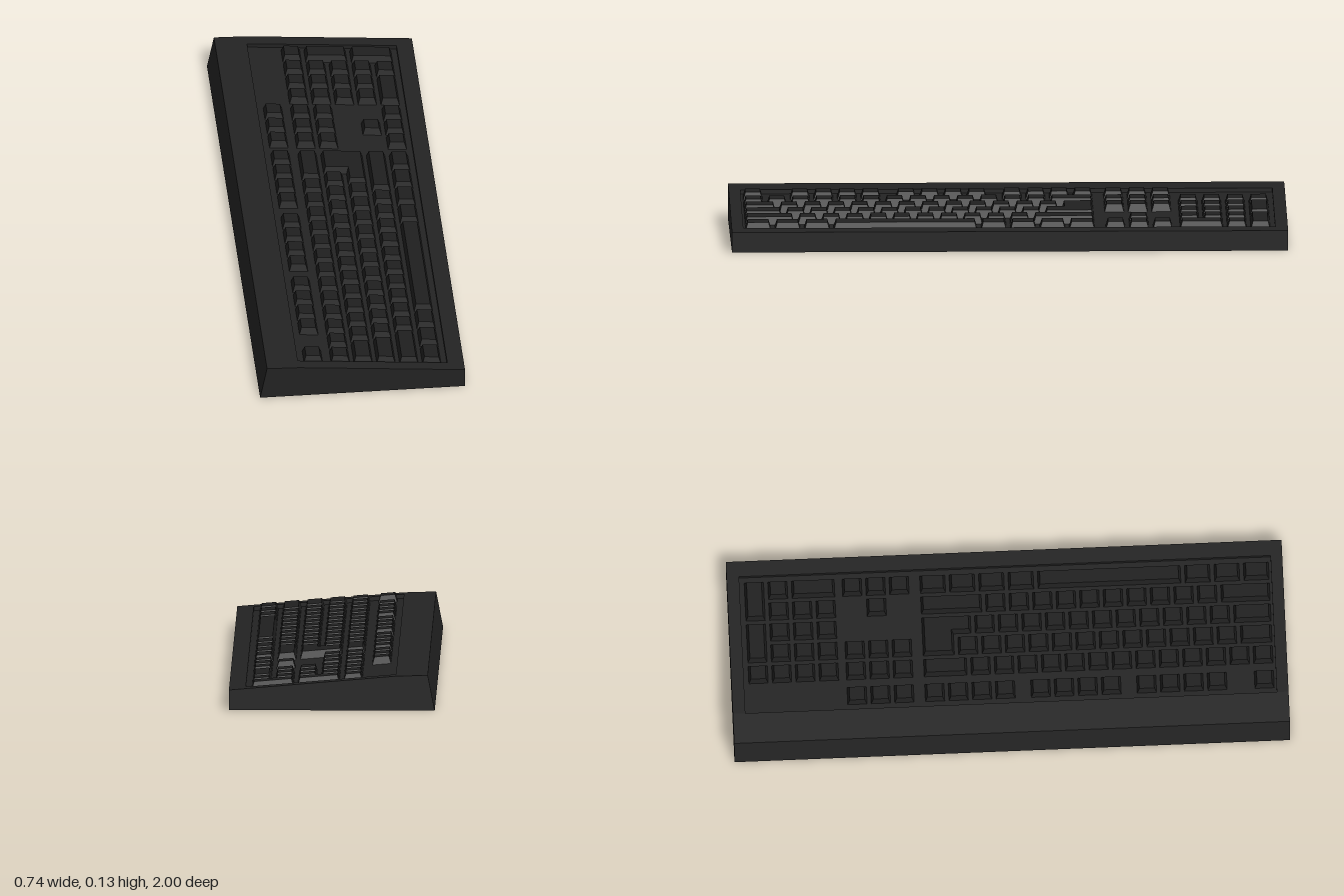
import * as THREE from 'three';

const PITCH = 0.0847;     // key spacing along the board (z)
const ROW = 0.0825;       // key spacing across the board (x)
const GAP = 0.0075;       // half of the space between keys
const TAPER = 0.008;      // inset of a key's top face
const RECESS = 0.015;     // depth of the key well
const KEY_H = 0.0275;     // key height from the well floor
const deck = x => 0.1048 - 0.086 * x;   // sloping top of the case

// Row centres from the top row to the space bar
const rowX = [-0.173, ...[0, 1, 2, 3, 4].map(i => -0.075 + i * ROW)];
const MAIN = 0.957, NAV = -0.339, PAD = -0.606;

export function createModel() {
  const caseBlack = new THREE.MeshStandardMaterial({ color: 0x232323 });
  const keyBlack = new THREE.MeshStandardMaterial({ color: 0x1f1f1f });
  caseBlack.name = 'caseBlack';
  keyBlack.name = 'keyBlack';

  const model = new THREE.Group();
  model.name = 'keyboard';

  // Case: side profile extruded along z, notched in the middle for the key well
  const casePart = (name, notch, z0, z1) => {
    const pts = [[-0.37, 0], [0.37, 0], [0.37, deck(0.37)], ...notch, [-0.23, deck(-0.23)], [-0.345, 0.128]];
    const shape = new THREE.Shape(pts.map(p => new THREE.Vector2(...p)));
    const geo = new THREE.ExtrudeGeometry(shape, { depth: z1 - z0, bevelEnabled: false });
    geo.translate(0, 0, z0);
    const mesh = new THREE.Mesh(geo, caseBlack);
    mesh.name = name;
    model.add(mesh);
  };
  const well = [[0.31, deck(0.31)], [0.31, deck(0.31) - RECESS], [-0.23, deck(-0.23) - RECESS]];
  casePart('caseRightEnd', [], -1, -0.955);
  casePart('caseKeyWell', well, -0.955, 0.958);
  casePart('caseLeftEnd', [], 0.958, 1);

  // Tapered key from an [x, z] outline, sheared to follow the deck
  const addKey = (group, name, outline) => {
    const shape = new THREE.Shape(outline.map(([x, z]) => new THREE.Vector2(x, -z)));
    const geo = new THREE.ExtrudeGeometry(shape, { depth: KEY_H, bevelEnabled: false });
    geo.rotateX(-Math.PI / 2);
    geo.computeBoundingBox();
    const maxX = geo.boundingBox.max.x, minZ = geo.boundingBox.min.z;
    const p = geo.attributes.position;
    for (let i = 0; i < p.count; i++) {
      let x = p.getX(i), z = p.getZ(i);
      const y = p.getY(i);
      if (y > KEY_H / 2) {
        x += x > maxX - 1e-4 ? -TAPER : TAPER;
        z += z < minZ + 1e-4 ? TAPER : -TAPER;
      }
      p.setXYZ(i, x, y + deck(x) - RECESS, z);
    }
    geo.computeVertexNormals();
    const mesh = new THREE.Mesh(geo, keyBlack);
    mesh.name = name;
    group.add(mesh);
  };

  const block = name => {
    const g = new THREE.Group();
    g.name = name;
    model.add(g);
    return g;
  };

  // Rectangular key: row, first unit, width in units, rows spanned
  const rectKey = (group, name, start, row, u, w = 1, rows = 1) => {
    const x0 = rowX[row] - ROW / 2 + GAP, x1 = rowX[row + rows - 1] + ROW / 2 - GAP;
    const z0 = start - u * PITCH - GAP, z1 = start - (u + w) * PITCH + GAP;
    addKey(group, name, [[x0, z0], [x1, z0], [x1, z1], [x0, z1]]);
  };
  const run = (group, name, start, row, u, widths) => {
    for (const w of widths) {
      rectKey(group, name, start, row, u, w);
      u += w;
    }
  };
  const ones = n => Array(n).fill(1);

  // Top row: escape key and three sets of four
  const top = block('topRow');
  rectKey(top, 'escapeKey', MAIN, 0, 0);
  for (const u of [2, 6.5, 11]) run(top, 'topRowKey', MAIN, 0, u, ones(4));

  // Main typing block
  const main = block('typingBlock');
  run(main, 'numberRowKey', MAIN, 1, 0, [...ones(13), 2]);
  run(main, 'upperLetterRowKey', MAIN, 2, 0, [1.5, ...ones(12)]);
  run(main, 'middleLetterRowKey', MAIN, 3, 0, [1.75, ...ones(11)]);
  run(main, 'lowerLetterRowKey', MAIN, 4, 0, [2.25, ...ones(10), 2.75]);
  run(main, 'bottomRowKey', MAIN, 5, 0, [1.25, 1.25, 1.25, 6.25, 1.25, 1.25, 1.25, 1.25]);

  // L-shaped enter key
  const ex0 = rowX[2] - ROW / 2 + GAP, exm = rowX[3] - ROW / 2 + GAP, ex1 = rowX[3] + ROW / 2 - GAP;
  const ez0 = MAIN - 12.75 * PITCH - GAP, ezm = MAIN - 13.5 * PITCH - GAP, ez1 = MAIN - 15 * PITCH + GAP;
  addKey(main, 'enterKey', [[ex0, ezm], [exm, ezm], [exm, ez0], [ex1, ez0], [ex1, ez1], [ex0, ez1]]);

  // Navigation keys and arrows
  const nav = block('navigationBlock');
  for (const row of [0, 1, 2]) run(nav, 'navigationKey', NAV, row, 0, ones(3));
  rectKey(nav, 'arrowKey', NAV, 4, 1);
  run(nav, 'arrowKey', NAV, 5, 0, ones(3));

  // Number pad
  const pad = block('numberPad');
  run(pad, 'padKey', PAD, 1, 0, ones(4));
  for (const row of [2, 3, 4]) run(pad, 'padKey', PAD, row, 0, ones(3));
  run(pad, 'padKey', PAD, 5, 0, [2, 1]);
  rectKey(pad, 'padPlusKey', PAD, 2, 3, 1, 2);
  rectKey(pad, 'padEnterKey', PAD, 4, 3, 1, 2);

  return model;
}
